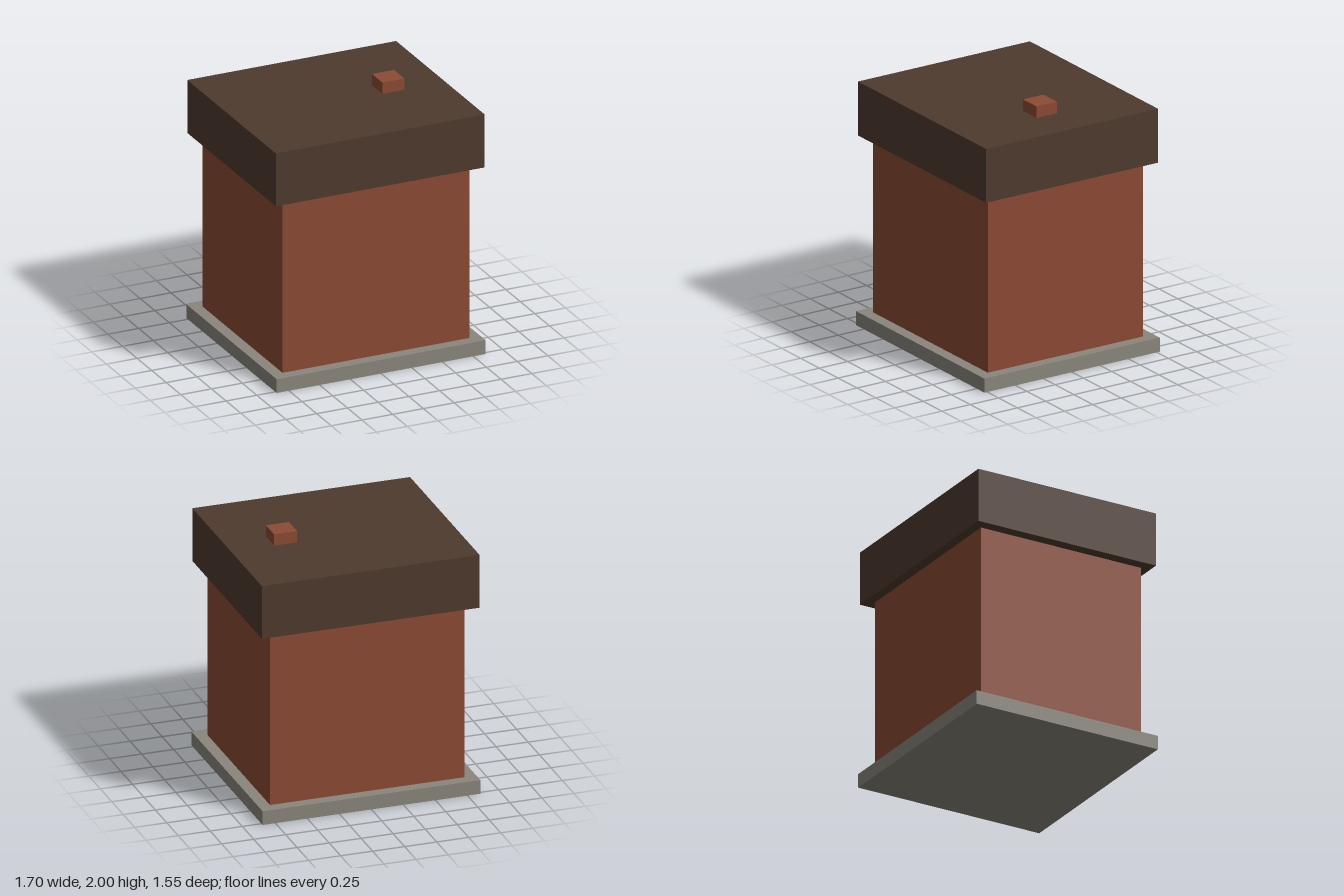
import * as THREE from 'three';

const material = (name, color) => {
  const m = new THREE.MeshStandardMaterial({ color });
  m.name = name;
  return m;
};

export function createModel() {
  const brick = material('brick', 0x8c4a34);
  const roofBrown = material('roofBrown', 0x4e3a2d);
  const stone = material('stone', 0x8a867c);

  const house = new THREE.Group();
  house.name = 'house';

  // Adds a block of the given width and depth between two heights
  const block = (name, mat, width, depth, bottom, top, x = 0) => {
    const mesh = new THREE.Mesh(new THREE.BoxGeometry(width, top - bottom, depth), mat);
    mesh.name = name;
    mesh.position.set(x, (bottom + top) / 2, 0);
    house.add(mesh);
  };

  block('foundation', stone, 1.7, 1.55, 0, 0.11);
  block('walls', brick, 1.52, 1.37, 0.11, 1.487);
  block('roof', roofBrown, 1.7, 1.52, 1.487, 1.91);
  block('chimney', brick, 0.18, 0.18, 1.91, 2, 0.425);

  return house;
}
